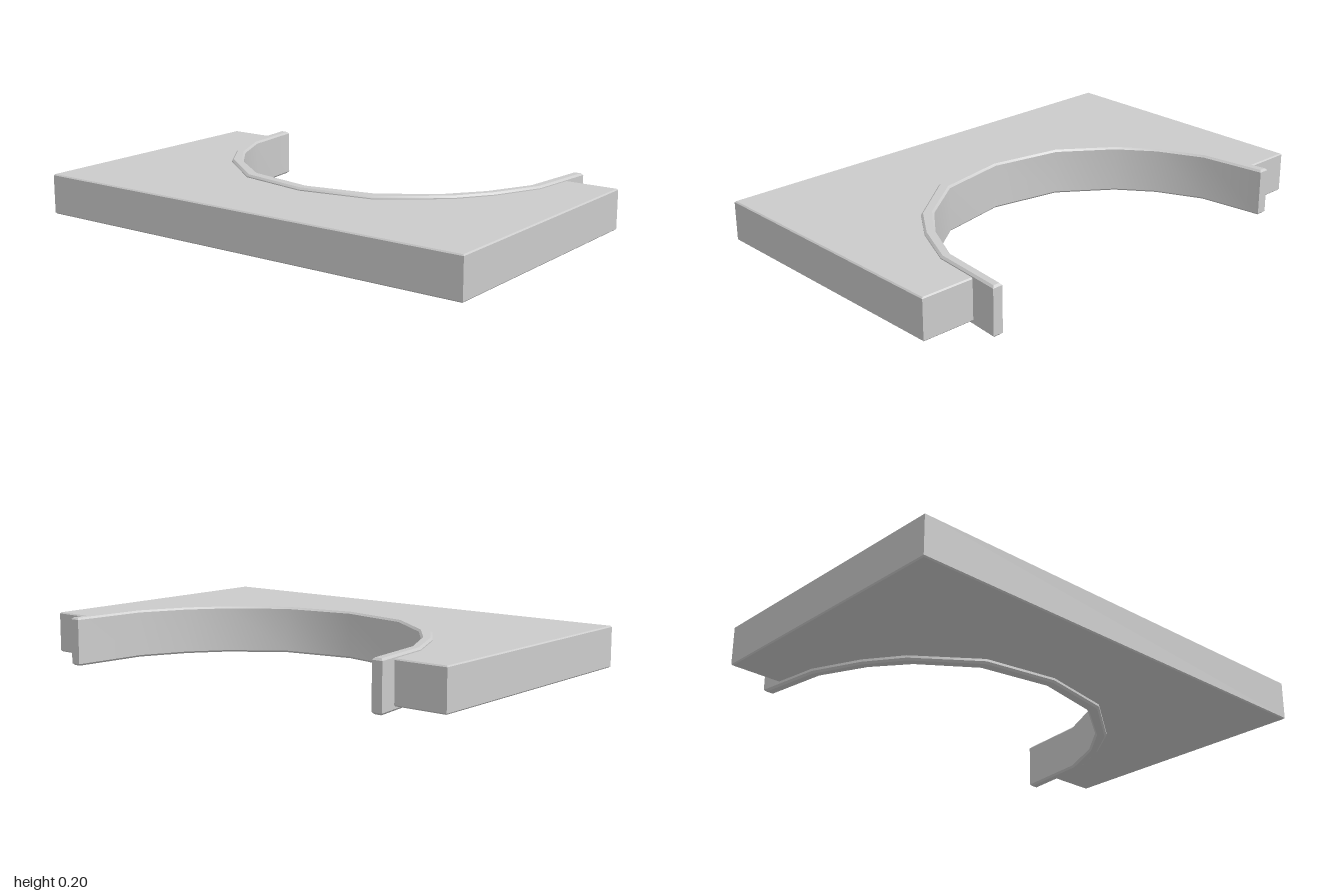
import * as THREE from 'three';
import { toCreasedNormals } from 'three/addons/utils/BufferGeometryUtils.js';

const material = new THREE.MeshStandardMaterial({ color: 0xcccccc });

// Extrude a plan outline of [x, z] points from y0 up to y1, with a fine bevel
function plate(name, outline, y0, y1, bevel) {
  const shape = new THREE.Shape(outline.map(([x, z]) => new THREE.Vector2(x, -z)));
  const geometry = new THREE.ExtrudeGeometry(shape, {
    depth: y1 - y0 - 2 * bevel,
    bevelEnabled: true,
    bevelThickness: bevel,
    bevelSize: bevel,
    bevelOffset: -bevel,
    bevelSegments: 1,
  });
  geometry.rotateX(-Math.PI / 2).translate(0, y0 + bevel, 0);
  const mesh = new THREE.Mesh(toCreasedNormals(geometry, 0.5), material);
  mesh.name = name;
  return mesh;
}

// Mirror the right-hand half of a curve (front centre to back) across x = 0
function arc(half, leftEnd, rightEnd) {
  const left = half.slice(1).reverse().map(([x, z]) => [-x, z]);
  return [leftEnd, ...left, ...half, rightEnd];
}

export function createModel() {
  const group = new THREE.Group();
  group.name = 'cutoutPanel';

  // Curves of the cut-out: inner and outer faces of the rim, and the slab edge between
  const inner = [[0, 0.21], [0.3, 0.153], [0.51, 0], [0.62, -0.14], [0.71, -0.33]];
  const outer = [[0, 0.262], [0.315, 0.206], [0.56, 0.02], [0.665, -0.13], [0.755, -0.33]];
  const middle = inner.map(([x, z], i) => [(x + outer[i][0]) / 2, (z + outer[i][1]) / 2]);

  // Flat slab with the cut-out open to the back
  const slabEdge = arc(middle, [-0.755, -0.52], [0.755, -0.525]);
  group.add(plate('slab', [[-1, -0.52], [-1, 0.643], [1, 0.643], [1, -0.525], ...slabEdge.reverse()], 0.018, 0.188, 0.005));

  // Raised rim lining the cut-out, its two ends projecting past the back edge
  const rimInner = arc(inner, [-0.745, -0.605], [0.742, -0.645]);
  const rimOuter = arc(outer, [-0.79, -0.605], [0.785, -0.645]);
  group.add(plate('rim', [...rimOuter, ...rimInner.reverse()], 0, 0.2, 0.008));

  return group;
}
